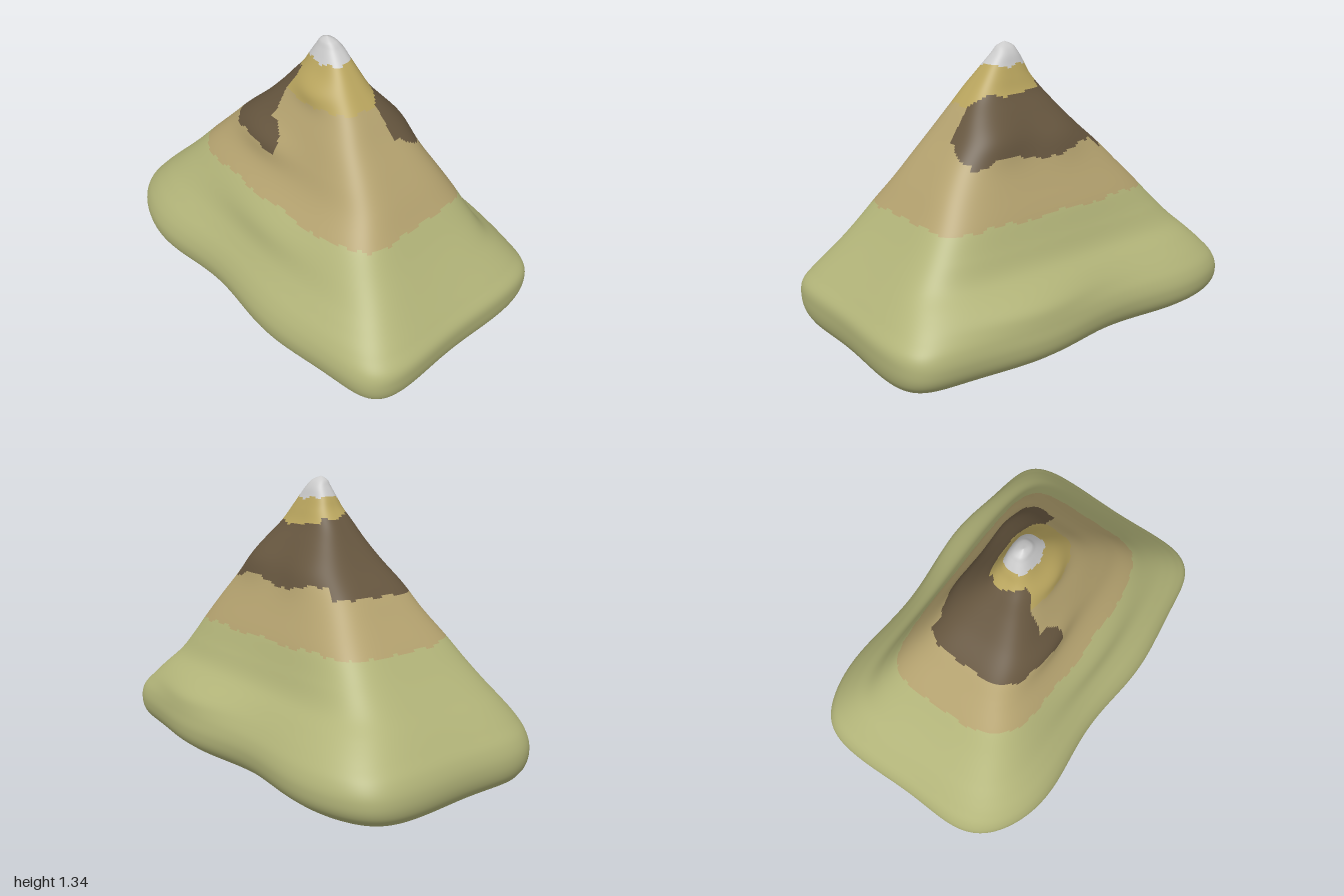
import * as THREE from 'three';

const SIDES = 240, ROWS = 140, BASE = 0.012, TOP = 1.355;

// Height, then the extents of the cross-section: left, right, back, front
const profile = [
  [0.012, -0.965, 0.965, -0.585, 0.61],
  [0.05, -0.99, 0.985, -0.63, 0.635],
  [0.13, -0.997, 0.998, -0.652, 0.65],
  [0.2, -0.97, 0.99, -0.635, 0.635],
  [0.26, -0.92, 0.943, -0.595, 0.605],
  [0.33, -0.855, 0.885, -0.535, 0.555],
  [0.4, -0.785, 0.828, -0.47, 0.505],
  [0.5, -0.69, 0.75, -0.42, 0.445],
  [0.62, -0.585, 0.665, -0.37, 0.38],
  [0.73, -0.485, 0.59, -0.317, 0.315],
  [0.83, -0.395, 0.515, -0.268, 0.272],
  [0.95, -0.27, 0.42, -0.21, 0.222],
  [1.05, -0.18, 0.345, -0.155, 0.175],
  [1.13, -0.115, 0.28, -0.105, 0.138],
  [1.2, -0.06, 0.222, -0.078, 0.105],
  [1.25, -0.035, 0.18, -0.06, 0.082],
  [1.31, 0.0, 0.125, -0.038, 0.055],
  [1.34, 0.022, 0.095, -0.012, 0.04],
  [1.355, 0.055, 0.055, 0.018, 0.018],
];
const extents = new THREE.CubicInterpolant(
  profile.map(p => p[0]), profile.flatMap(p => p.slice(1)), 4);

// Local swellings: face (1 front, -1 back), x, y, depth, half-width, half-height
const swellings = [
  [1, 0.1, 0.52, 0.035, 0.35, 0.1],
  [1, -0.1, 0.83, 0.028, 0.2, 0.08],
  [1, 0.1, 1.13, 0.026, 0.12, 0.06],
  [-1, 0.35, 0.29, 0.04, 0.35, 0.07],
  [-1, 0.28, 0.95, 0.03, 0.18, 0.1],
  [-1, -0.1, 0.92, 0.02, 0.15, 0.1],
];

// Point on a rounded rectangle that grows rounder with height
function surfacePoint(t, y) {
  const [x0, x1, z0, z1] = extents.evaluate(y);
  const side = Math.floor(t * 4), f = (t * 4 - side) * 2 - 1;
  let [u, v] = [[1, f], [-f, 1], [-1, -f], [f, -1]][side];
  const fade = 1 - y / TOP;
  // The front left corner is worn down more than the others
  const n = Math.min(u < 0 && v > 0 ? 4.8 : 8, 2.3 + 5.4 * fade);
  const k = (Math.abs(u) ** n + Math.abs(v) ** n) ** (-1 / n);
  u *= k;
  v *= k;
  let x = (x0 + x1) / 2 + u * (x1 - x0) / 2;
  let z = (z0 + z1) / 2 + v * (z1 - z0) / 2;
  for (const [face, sx, sy, depth, rx, ry] of swellings) {
    const falloff = Math.exp(-(((x - sx) / rx) ** 2) - ((y - sy) / ry) ** 2);
    z += face * depth * falloff * Math.max(0, v * face);
  }
  // Gentle waves round the foot
  const foot = Math.max(0, 1 - y / 0.6);
  x *= 1 + 0.012 * foot * (Math.cos(9 * (z + 0.3)) - 1) / 2;
  z *= 1 + 0.07 * foot * (Math.cos(7 * (x - 0.3)) - 1) / 2;
  return [x, y, z];
}

function inPolygon(px, py, poly) {
  let inside = false;
  poly.forEach(([ax, ay], i) => {
    const [bx, by] = poly[(i + 1) % poly.length];
    if ((ay > py) !== (by > py) && px < (bx - ax) * (py - ay) / (by - ay) + ax) inside = !inside;
  });
  return inside;
}

// Outline of the dark rock where it reaches round onto the front
const frontRock = [[-0.6, 0.84], [-0.3, 0.81], [0.0, 0.79], [0.02, 0.83], [0.015, 0.9], [-0.04, 0.93],
  [-0.11, 0.93], [-0.09, 1.02], [-0.06, 1.1], [-0.03, 1.19], [-0.2, 1.19], [-0.6, 1.15]];
// Its outline on the right-hand end, as z and y
const endRock = [[-0.04, 1.08], [-0.06, 0.94], [-0.1, 0.93], [-0.2, 0.86], [-0.4, 0.82], [-0.4, 1.13], [-0.09, 1.13]];

// Which part a spot on the surface belongs to
function partAt(t, x, y, z) {
  const ragged = 0.007 * Math.sin(17 * x + 5 * z) + 0.005 * Math.sin(61 * x - 43 * z);
  const h = y + ragged;
  if (h > 1.255) return 'snowCap';
  if (h < 0.605) return 'grassSlope';
  let rock;
  if (t < 0.25) rock = inPolygon(z, h, endRock);
  else if (t < 0.5) rock = inPolygon(x + 2 * ragged, h, frontRock);
  else if (t < 0.75) rock = h > 0.82 && h < 1.15 + 0.3 * Math.max(z, 0);
  else rock = h > 0.83 + 0.05 * Math.sin(7 * x) ** 2 && h < 1.13;
  if (rock) return 'darkRock';
  return h > 1.075 ? 'sandyCrown' : 'earthSlope';
}

const colors = {
  grassSlope: 0xb2b479,
  earthSlope: 0xb4a26f,
  sandyCrown: 0xb9a55e,
  darkRock: 0x66563f,
  snowCap: 0xcccccc,
};

export function createModel() {
  const mountain = new THREE.Group();
  mountain.name = 'mountain';

  // Rings of the whole hillside, so normals stay smooth across the parts
  const positions = [], indices = [], groups = {};
  const heightAt = row => BASE + (TOP - BASE) * row / ROWS;
  for (let j = 0; j <= ROWS; j++) {
    for (let i = 0; i < SIDES; i++) positions.push(...surfacePoint(i / SIDES, heightAt(j)));
  }
  for (let j = 0; j < ROWS; j++) {
    for (let i = 0; i < SIDES; i++) {
      const i2 = (i + 1) % SIDES;
      const a = j * SIDES + i, b = j * SIDES + i2, c = a + SIDES, d = b + SIDES;
      const t = (i + 0.5) / SIDES;
      const quad = [a, c, b, b, c, d];
      const name = partAt(t, ...surfacePoint(t, heightAt(j + 0.5)));
      (groups[name] ??= []).push(...quad);
      indices.push(...quad);
    }
  }
  const whole = new THREE.BufferGeometry();
  whole.setAttribute('position', new THREE.Float32BufferAttribute(positions, 3));
  whole.setIndex(indices);
  whole.computeVertexNormals();

  // One mesh for each kind of ground
  for (const [name, index] of Object.entries(groups)) {
    const part = whole.clone();
    part.setIndex(index);
    const mesh = new THREE.Mesh(part.toNonIndexed(), new THREE.MeshStandardMaterial({ color: colors[name] }));
    mesh.name = name;
    mountain.add(mesh);
  }

  // Flat underside
  const rim = [0, BASE, 0], fan = [];
  for (let i = 0; i < SIDES; i++) {
    rim.push(...surfacePoint(i / SIDES, BASE));
    fan.push(0, i + 1, (i + 1) % SIDES + 1);
  }
  const bottom = new THREE.BufferGeometry();
  bottom.setAttribute('position', new THREE.Float32BufferAttribute(rim, 3));
  bottom.setIndex(fan);
  bottom.computeVertexNormals();
  const underside = new THREE.Mesh(bottom, new THREE.MeshStandardMaterial({ color: colors.grassSlope }));
  underside.name = 'underside';
  mountain.add(underside);

  return mountain;
}
